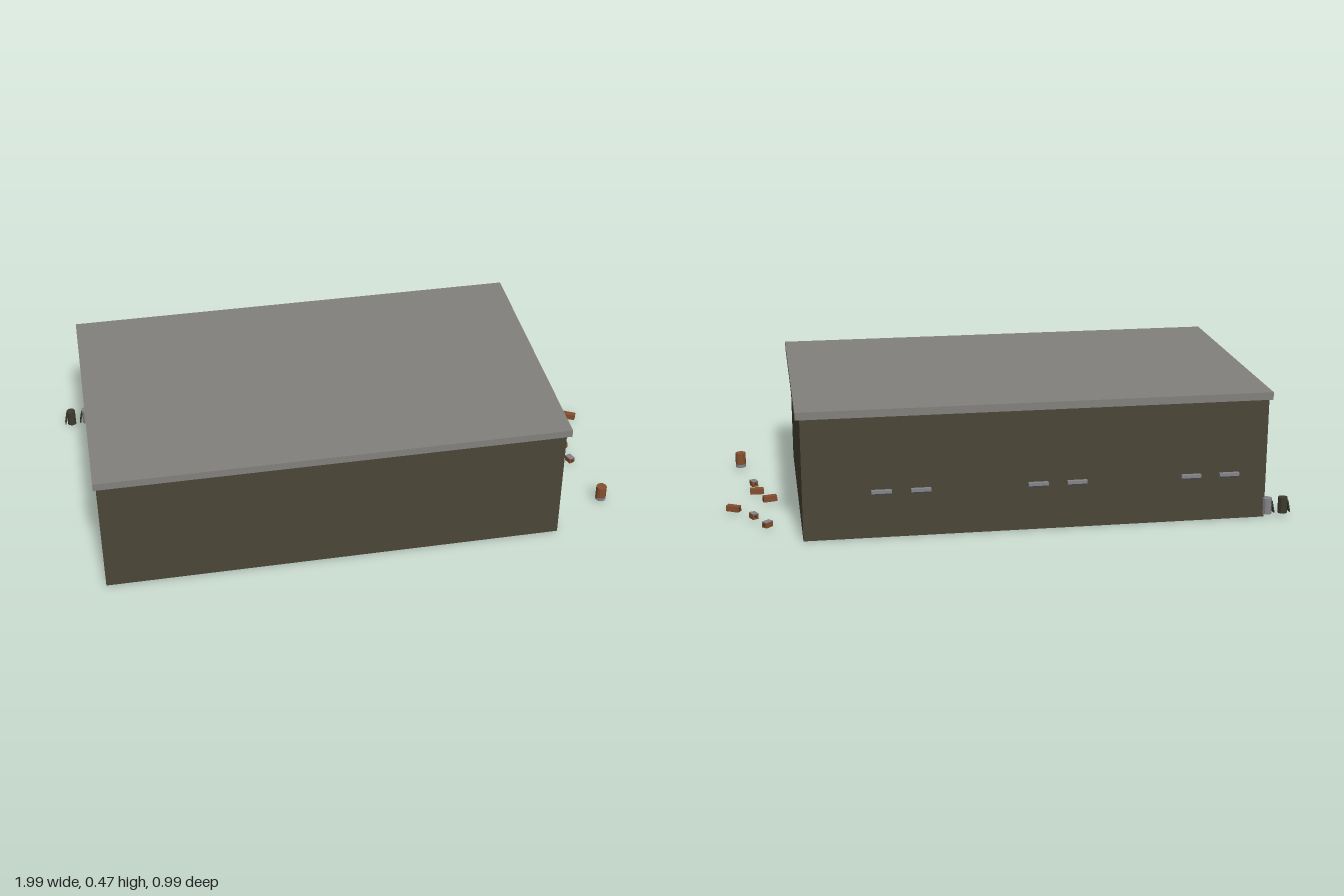
import * as THREE from 'three';

export function createModel() {
  const model = new THREE.Group();
  const paint = (name, color) => {
    const m = new THREE.MeshStandardMaterial({ color, flatShading: true });
    m.name = name;
    return m;
  };
  const wall = paint('olive wall', 0x4b4637);
  const concrete = paint('grey concrete', 0x82817d);
  const rust = paint('rusty brown', 0x85502f);
  const metal = paint('grey metal', 0x85858a);
  const dark = paint('dark metal', 0x3c3b30);

  const add = (parent, name, geo, mat, x = 0, y = 0, z = 0) => {
    const m = new THREE.Mesh(geo, mat);
    m.name = name;
    m.position.set(x, y, z);
    parent.add(m);
    return m;
  };
  const group = (name, x, y, z) => {
    const g = new THREE.Group();
    g.name = name;
    g.position.set(x, y, z);
    model.add(g);
    return g;
  };

  // Main hall and overhanging flat roof
  add(model, 'walls', new THREE.BoxGeometry(1.638, 0.44, 0.955), wall, -0.086, 0.22, 0.0025);
  add(model, 'roof', new THREE.BoxGeometry(1.663, 0.027, 0.983), concrete, -0.083, 0.4525, 0.001);

  // Pairs of ledges on the back wall, chamfered underneath
  const profile = new THREE.Shape([[0, 0.175], [0.016, 0.175], [0.016, 0.164], [0.009, 0.156], [0, 0.156]]
    .map(([x, y]) => new THREE.Vector2(x, y)));
  const ledgeGeo = new THREE.ExtrudeGeometry(profile, { depth: 0.07, bevelEnabled: false });
  for (const x of [-0.768, -0.63, -0.222, -0.084, 0.325, 0.462]) {
    const ledge = add(model, 'ledge', ledgeGeo, metal, x - 0.035, 0, -0.474);
    ledge.rotation.y = Math.PI / 2;
  }

  // Two upright bins at the rear corner, each with a slanted side handle
  [[-0.972, dark], [-0.914, metal]].forEach(([x, mat]) => {
    const bin = group('bin', x, 0.043, -0.479);
    add(bin, 'binBody', new THREE.CylinderGeometry(0.017, 0.017, 0.058, 10), mat);
    const handle = add(bin, 'binHandle', new THREE.BoxGeometry(0.004, 0.045, 0.022), dark, -0.02, -0.003, 0);
    handle.rotation.z = -0.2;
  });

  // Standing drum with a grey lower band
  const drum = group('drum', 0.94, 0.012, 0.342);
  add(drum, 'drumBand', new THREE.CylinderGeometry(0.0195, 0.0195, 0.012, 12), metal, 0, 0.006, 0);
  add(drum, 'drumBody', new THREE.CylinderGeometry(0.0195, 0.0195, 0.044, 12), rust, 0, 0.034, 0);

  // Scattered crates: x, z, length, turn, grey lid or not
  const crates = [
    [0.852, -0.343, 0.032, 0.75, true],
    [0.898, -0.25, 0.03, -1.1, true],
    [0.969, -0.163, 0.05, -0.5, false],
    [0.838, -0.075, 0.05, 0.25, false],
    [0.883, 0.014, 0.05, 0, false],
    [0.893, 0.105, 0.03, -1.2, true],
  ];
  for (const [x, z, length, turn, lid] of crates) {
    const crate = group('crate', x, 0.012, z);
    crate.rotation.y = turn;
    add(crate, 'crateBody', new THREE.BoxGeometry(length, 0.019, 0.022), rust, 0, 0.0095, 0);
    add(crate, 'crateLid', new THREE.BoxGeometry(length, 0.002, 0.022), lid ? metal : rust, 0, 0.02, 0);
    for (const s of [-1, 1]) {
      add(crate, 'crateEnd', new THREE.BoxGeometry(0.001, 0.008, 0.009), dark, s * length / 2, 0.01, 0);
    }
  }
  return model;
}
